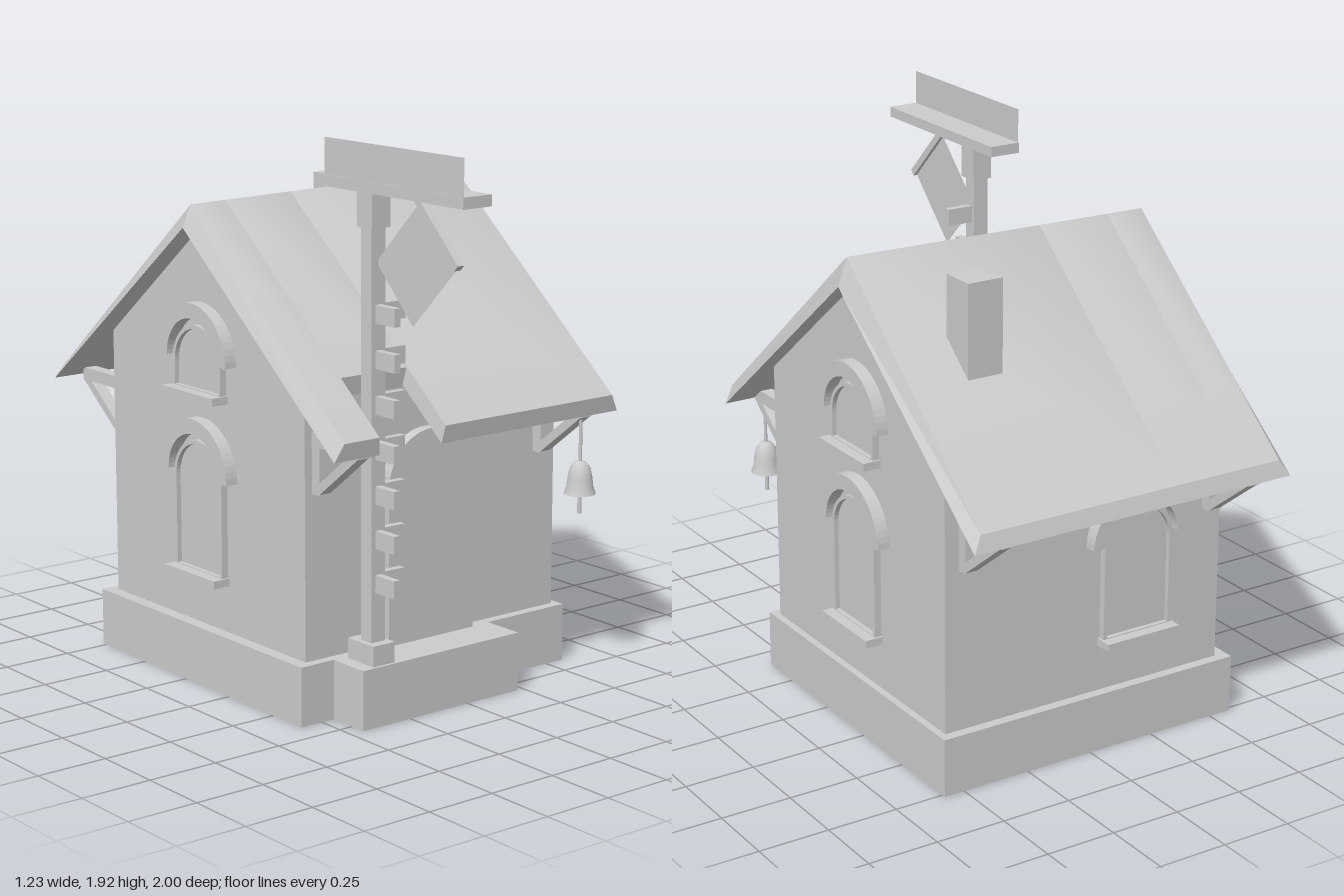
import * as THREE from 'three';

const mat = new THREE.MeshStandardMaterial({ color: 0xcccccc });
const thin = new THREE.MeshStandardMaterial({ color: 0xcccccc, side: THREE.DoubleSide });

function add(parent, name, geometry, material = mat) {
  const mesh = new THREE.Mesh(geometry, material);
  mesh.name = name;
  parent.add(mesh);
  return mesh;
}

// Box given by its limits on each axis
function box(parent, name, [x0, x1], [y0, y1], [z0, z1]) {
  const mesh = add(parent, name, new THREE.BoxGeometry(x1 - x0, y1 - y0, z1 - z0));
  mesh.position.set((x0 + x1) / 2, (y0 + y1) / 2, (z0 + z1) / 2);
  return mesh;
}

// Quads between two rows of points, smooth or faceted
function strip(a, b, smooth = false) {
  const index = [];
  const n = a.length;
  for (let i = 0; i < n - 1; i++) index.push(i, i + 1, n + i, i + 1, n + i + 1, n + i);
  let g = new THREE.BufferGeometry();
  g.setAttribute('position', new THREE.Float32BufferAttribute([...a, ...b].flat(), 3));
  g.setIndex(index);
  if (!smooth) g = g.toNonIndexed();
  g.computeVertexNormals();
  return g;
}

const polygon = (pts) => new THREE.Shape(pts.map(([x, y]) => new THREE.Vector2(x, y)));

// Round-headed outline: half width r, from y0 to the springing line
function arch(r, y0, spring, Type = THREE.Shape) {
  const s = new Type();
  s.moveTo(-r, y0);
  s.lineTo(r, y0);
  s.lineTo(r, spring);
  s.absarc(0, spring, r, 0, Math.PI, false);
  s.lineTo(-r, y0);
  return s;
}

const extrude = (shape, depth) =>
  new THREE.ExtrudeGeometry(shape, { depth, bevelEnabled: false, curveSegments: 14 });

// Window facing +z with its wall at z = 0
function makeWindow(y0, spring) {
  const g = new THREE.Group();
  g.name = 'window';
  const frame = arch(0.137, y0 + 0.02, spring);
  frame.holes.push(arch(0.124, y0 + 0.03, spring, THREE.Path));
  add(g, 'windowFrame', extrude(frame, 0.025));
  add(g, 'windowPane', extrude(arch(0.126, y0 + 0.02, spring), 0.008));
  const hood = new THREE.Shape();
  hood.absarc(0, spring + 0.02, 0.195, 0, Math.PI, false);
  hood.absarc(0, spring + 0.02, 0.142, Math.PI, 0, true);
  add(g, 'windowHood', extrude(hood, 0.045));
  box(g, 'windowSill', [-0.145, 0.145], [y0, y0 + 0.027], [0, 0.065]);
  return g;
}

// Triangular eave bracket, reaching out along +z from its wall at z = 0
function makeBracket() {
  const g = new THREE.Group();
  g.name = 'eaveBracket';
  const t = [-0.023, 0.023];
  box(g, 'bracketArm', t, [0.93, 0.975], [0, 0.245]);
  box(g, 'bracketPost', t, [0.77, 0.93], [0, 0.04]);
  const brace = box(g, 'bracketBrace', t, [0.845, 0.875], [0, 0.26]);
  brace.position.z = 0.125;
  brace.rotation.x = -0.66;
  return g;
}

// One slice of roof between xa and xb; the front stops at zf, outer ends flare
function roofSlice(parent, xa, xb, zf, flareA, flareB) {
  const ridgeZ = -0.19;
  const slice = (x, flare) => {
    const ridge = 1.67 + 0.017 * x;
    const k = zf > 0.5 ? 0 : 1;
    return {
      top: [[x, k ? 1.155 : 0.995, zf], [x, ridge, ridgeZ], [x, 1.0, -0.98]],
      under: [[x + flare, k ? 1.09 : 0.935, zf - 0.01], [x + flare, 1.585, ridgeZ], [x + flare, 0.945, -1]],
    };
  };
  const a = slice(xa, flareA), b = slice(xb, flareB);
  add(parent, 'roofTop', strip(a.top, b.top, true), thin);
  add(parent, 'roofUnderside', strip(a.under, b.under), thin);
  for (const s of [a, b]) add(parent, 'roofVerge', strip(s.top, s.under), thin);
  for (const i of [0, 2])
    add(parent, 'roofEave', strip([a.top[i], b.top[i]], [a.under[i], b.under[i]]), thin);
}

export function createModel() {
  const model = new THREE.Group();
  model.name = 'house';

  // Hollow plinth, open underneath, with a ledge around the walls
  const rect = (x0, x1, z0, z1) => [[x0, z1], [x1, z1], [x1, z0], [x0, z0], [x0, z1]];
  const outer = rect(-0.585, 0.575, -0.765, 0.405);
  const inner = rect(-0.54, 0.55, -0.73, 0.37);
  const at = (loop, y) => loop.map(([x, z]) => [x, y, z]);
  add(model, 'plinthSides', strip(at(outer, 0), at(outer, 0.205)), thin);
  add(model, 'plinthLedge', strip(at(outer, 0.205), at(inner, 0.205)), thin);
  box(model, 'doorStep', [-0.45, 0.225], [0, 0.205], [0.405, 0.56]);

  // Walls: a thin shell with two gables
  const gable = polygon([[-0.37, 0.205], [0.73, 0.205], [0.73, 1.15], [0.19, 1.583], [-0.37, 1.14]]);
  for (const x of [-0.54, 0.55]) {
    const wall = add(model, 'gableWall', new THREE.ShapeGeometry(gable), thin);
    wall.rotation.y = Math.PI / 2;
    wall.position.x = x;
  }
  for (const z of [0.37, -0.73])
    add(model, z > 0 ? 'frontWall' : 'backWall',
      strip([[-0.54, 0.205, z], [0.55, 0.205, z]], [[-0.54, 1.14, z], [0.55, 1.14, z]]), thin);

  // Roof in three slices, the middle one cut back around the pole
  const roof = new THREE.Group();
  roof.name = 'roof';
  model.add(roof);
  roofSlice(roof, -0.582, -0.44, 0.63, -0.033, 0.008);
  roofSlice(roof, -0.44, -0.165, 0.43, 0, 0);
  roofSlice(roof, -0.165, 0.578, 0.63, -0.008, 0.033);
  box(model, 'chimney', [0.24, 0.37], [1.25, 1.66], [-0.585, -0.457]);

  // Door
  const door = add(model, 'door', extrude(arch(0.185, 0.205, 0.745), 0.04));
  door.position.set(-0.035, 0, 0.37);

  // Windows: two on each gable, one at the back
  for (const [x, turn] of [[0.55, Math.PI / 2], [-0.54, -Math.PI / 2]])
    for (const [y0, spring] of [[0.37, 0.715], [1.0, 1.112]]) {
      const w = makeWindow(y0, spring);
      w.position.set(x, 0, -0.195);
      w.rotation.y = turn;
      model.add(w);
    }
  const backWindow = makeWindow(0.37, 0.715);
  backWindow.position.set(-0.19, 0, -0.73);
  backWindow.rotation.y = Math.PI;
  model.add(backWindow);

  // Brackets under both eaves
  for (const x of [-0.488, 0.475])
    for (const front of [true, false]) {
      const b = makeBracket();
      b.position.set(x, 0, front ? 0.37 : -0.73);
      b.rotation.y = front ? 0 : Math.PI;
      model.add(b);
    }

  // Bell on a cord
  const bell = new THREE.Group();
  bell.name = 'bell';
  bell.position.set(0.472, 0, 0.59);
  model.add(bell);
  const profile = [[0, 0.775], [0.02, 0.77], [0.036, 0.75], [0.043, 0.715], [0.046, 0.685], [0.055, 0.66]];
  add(bell, 'bellBody', new THREE.LatheGeometry(profile.map(([r, y]) => new THREE.Vector2(r, y)), 20), thin);
  add(bell, 'bellCord', new THREE.CylinderGeometry(0.006, 0.006, 0.18, 8)).position.y = 0.855;
  add(bell, 'bellClapper', new THREE.CylinderGeometry(0.006, 0.008, 0.13, 8)).position.y = 0.655;

  // Signpost with rungs on two sides
  const post = new THREE.Group();
  post.name = 'signpost';
  model.add(post);
  box(post, 'postBase', [-0.4, -0.31], [0.205, 0.275], [0.417, 0.55]);
  box(post, 'postShaft', [-0.38, -0.323], [0.275, 1.765], [0.46, 0.515]);
  box(post, 'postCap', [-0.39, -0.315], [1.645, 1.765], [0.452, 0.53]);
  for (let i = 0; i < 8; i++) {
    const y = [0.443 + i * 0.149, 0.503 + i * 0.149];
    box(post, 'sideRung', [-0.323, -0.227], y, [0.475, 0.5]);
    if (i < 7) box(post, 'frontRung', [-0.364, -0.339], y, [0.515, 0.61]);
  }

  // Beam with an upright sheet along one edge
  box(post, 'signBeam', [-0.418, -0.303], [1.763, 1.8], [0.318, 1]);
  const sheet = add(post, 'beamSheet', new THREE.PlaneGeometry(0.682, 0.12), thin);
  sheet.rotation.y = Math.PI / 2;
  sheet.position.set(-0.415, 1.86, 0.659);

  // Tilted hanging board with a thick rail on its upper edge
  const sign = new THREE.Group();
  sign.name = 'hangingSign';
  sign.position.set(-0.353, 1.553, 0.708);
  sign.rotation.x = -Math.PI / 4;
  post.add(sign);
  const board = add(sign, 'signBoard', new THREE.PlaneGeometry(0.315, 0.26), thin);
  board.rotation.set(0, Math.PI / 2, 0);
  // The rail runs along the edge that faces up and forward
  const rail = add(sign, 'signRail', new THREE.BoxGeometry(0.026, 0.29, 0.025));
  rail.position.set(0, 0.012, 0.15);
  return model;
}
